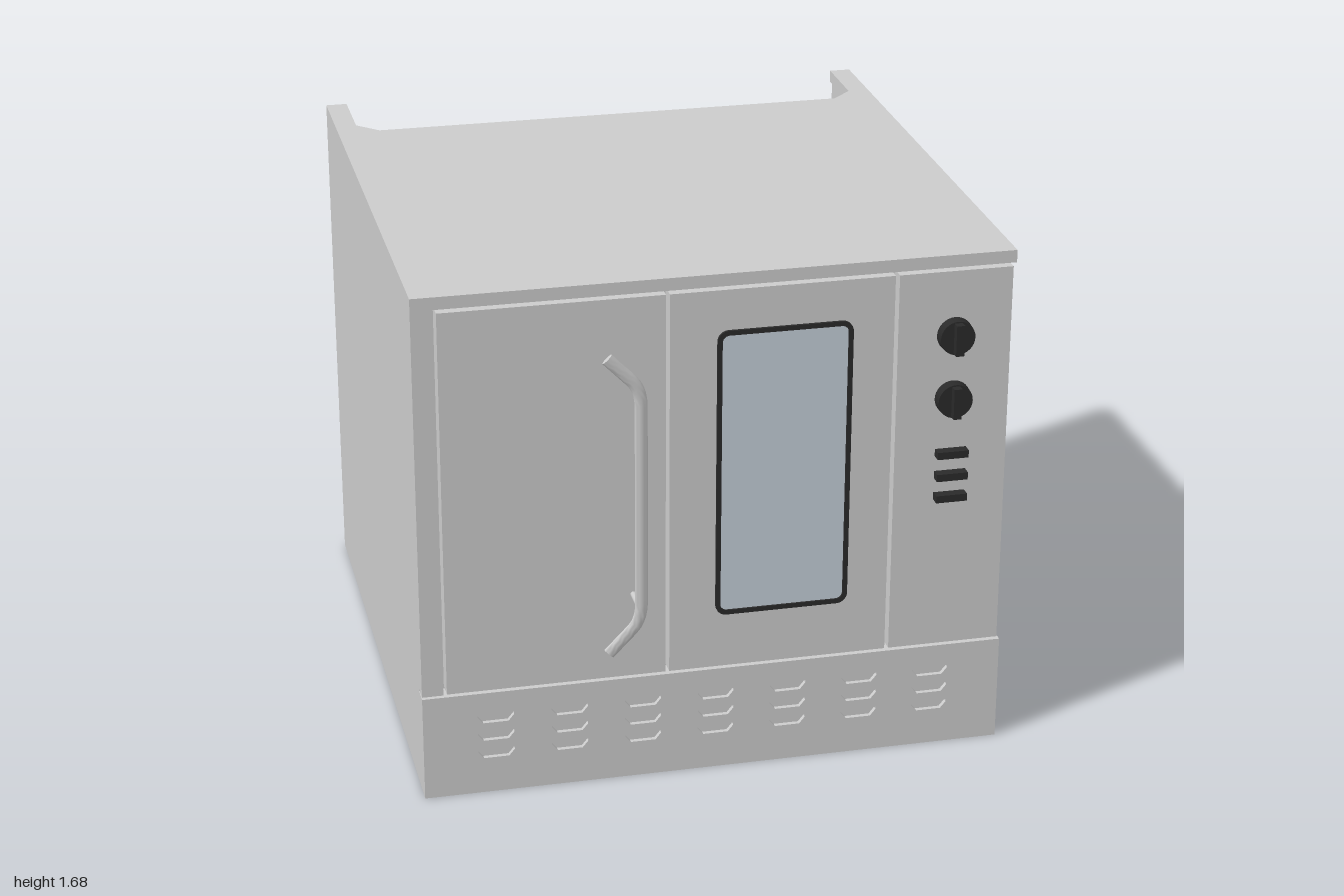
import * as THREE from 'three';
import { toCreasedNormals } from 'three/addons/utils/BufferGeometryUtils.js';

const mat = (color) => new THREE.MeshStandardMaterial({ color });
const W = 0.935, H = 1.68, FRONT = 0.875, RECESS = 0.815;

export function createModel() {
  const model = new THREE.Group();
  const grey = mat(0xcccccc), black = mat(0x2a2a2a), glass = mat(0xc4ced8);

  const add = (name, geometry, material = grey, x = 0, y = 0, z = 0, parent = model) => {
    const mesh = new THREE.Mesh(geometry, material);
    mesh.name = name;
    mesh.position.set(x, y, z);
    parent.add(mesh);
    return mesh;
  };
  // Box given by its two opposite corners
  const block = (name, x0, x1, y0, y1, z0, z1, material = grey) =>
    add(name, new THREE.BoxGeometry(x1 - x0, y1 - y0, z1 - z0), material,
      (x0 + x1) / 2, (y0 + y1) / 2, (z0 + z1) / 2);
  const polygon = (points) => new THREE.Shape(points.map(([x, y]) => new THREE.Vector2(x, y)));
  const extrude = (shape, depth) =>
    new THREE.ExtrudeGeometry(shape, { depth, bevelEnabled: false, curveSegments: 8 });

  // Cabinet layers: a plan with a chamfered bay at the back
  const layer = (name, y0, y1, front, inner) => {
    const half = [[W, -front], [W, 1], [inner, 1], [inner, 0.76], [0.795, 0.69]];
    const plan = polygon([...half, ...half.map(([x, y]) => [-x, y]).reverse()]);
    add(name, extrude(plan, y1 - y0).rotateX(-Math.PI / 2), grey, 0, y0);
  };
  layer('base', 0, 0.35, 0.86, 0.865);
  layer('cabinet', 0.35, 1.64, RECESS, 0.873);
  layer('roof', 1.64, H, FRONT, 0.865);
  block('cornerPost', -W, -0.868, 0.358, 1.64, RECESS, FRONT);

  // Lower front panel with rows of louvre slots
  const grille = polygon([[-W, 0], [W, 0], [W, 0.35], [-W, 0.35]]);
  for (let col = -3; col <= 3; col++) {
    for (const y of [0.26, 0.198, 0.136]) {
      const slot = [[-0.058, 0.015], [-0.058, 0.007], [-0.04, -0.015],
        [0.04, -0.015], [0.058, 0.007], [0.058, 0.015]];
      grille.holes.push(polygon(slot.map(([dx, dy]) => [col * 0.235 + dx, y + dy])));
    }
  }
  add('ventPanel', extrude(grille, FRONT - 0.86), grey, 0, 0, 0.86);

  // Doors and control panel, separated by narrow gaps
  block('leftDoor', -0.857, -0.163, 0.36, 1.628, RECESS, FRONT);
  block('windowDoor', -0.151, 0.551, 0.36, 1.628, RECESS, FRONT);
  block('controlPanel', 0.564, 0.925, 0.36, 1.628, RECESS, FRONT);

  // Window with a rounded gasket
  const rounded = (Type, w, h, r) => {
    const s = new Type(), x = w / 2, y = h / 2;
    s.absarc(x - r, y - r, r, 0, Math.PI / 2);
    s.absarc(-x + r, y - r, r, Math.PI / 2, Math.PI);
    s.absarc(-x + r, -y + r, r, Math.PI, Math.PI * 1.5);
    s.absarc(x - r, -y + r, r, Math.PI * 1.5, Math.PI * 2);
    s.closePath();
    return s;
  };
  const gasket = rounded(THREE.Shape, 0.425, 0.955, 0.035);
  gasket.holes.push(rounded(THREE.Path, 0.395, 0.925, 0.022));
  add('windowGasket', extrude(gasket, 0.01), black, 0.208, 1.02, FRONT - 0.001);
  add('windowGlass', extrude(rounded(THREE.Shape, 0.4, 0.93, 0.024), 0.004), glass,
    0.208, 1.02, FRONT - 0.001);

  // Flattened door handle with bent ends, on two posts
  const p = (x, y) => new THREE.Vector3(x, y, 0);
  const path = new THREE.CurvePath();
  path.add(new THREE.LineCurve3(p(-0.368, 1.485), p(-0.295, 1.41)));
  path.add(new THREE.QuadraticBezierCurve3(p(-0.295, 1.41), p(-0.265, 1.38), p(-0.265, 1.32)));
  path.add(new THREE.LineCurve3(p(-0.265, 1.32), p(-0.265, 0.67)));
  path.add(new THREE.QuadraticBezierCurve3(p(-0.265, 0.67), p(-0.265, 0.61), p(-0.295, 0.58)));
  path.add(new THREE.LineCurve3(p(-0.295, 0.58), p(-0.368, 0.505)));
  const section = new THREE.Shape().absarc(0, 0, 0.02, 0, Math.PI * 2);
  const bar = new THREE.ExtrudeGeometry(section, { steps: 60, extrudePath: path, curveSegments: 8 });
  bar.scale(1, 1, 0.45);
  add('handle', toCreasedNormals(bar, 0.9), grey, 0, 0, 0.99);
  for (const y of [1.355, 0.642]) {
    add('handlePost', new THREE.CylinderGeometry(0.01, 0.01, 0.115, 16).rotateX(Math.PI / 2),
      grey, -0.265, y, 0.93);
  }

  // Control knobs with a grip bar
  for (const y of [1.42, 1.21]) {
    const knob = new THREE.Group();
    knob.name = 'knob';
    knob.position.set(0.745, y, FRONT);
    model.add(knob);
    add('knobDisc', new THREE.CylinderGeometry(0.055, 0.057, 0.035, 32).rotateX(Math.PI / 2),
      black, 0, 0, 0.0175, knob);
    add('knobGrip', new THREE.BoxGeometry(0.026, 0.1, 0.03), black, 0, 0, 0.045, knob);
  }

  // Switches
  for (const y of [1.028, 0.953, 0.88]) {
    block('switch', 0.695, 0.795, y - 0.012, y + 0.012, FRONT - 0.01, 0.908, black);
  }
  return model;
}
